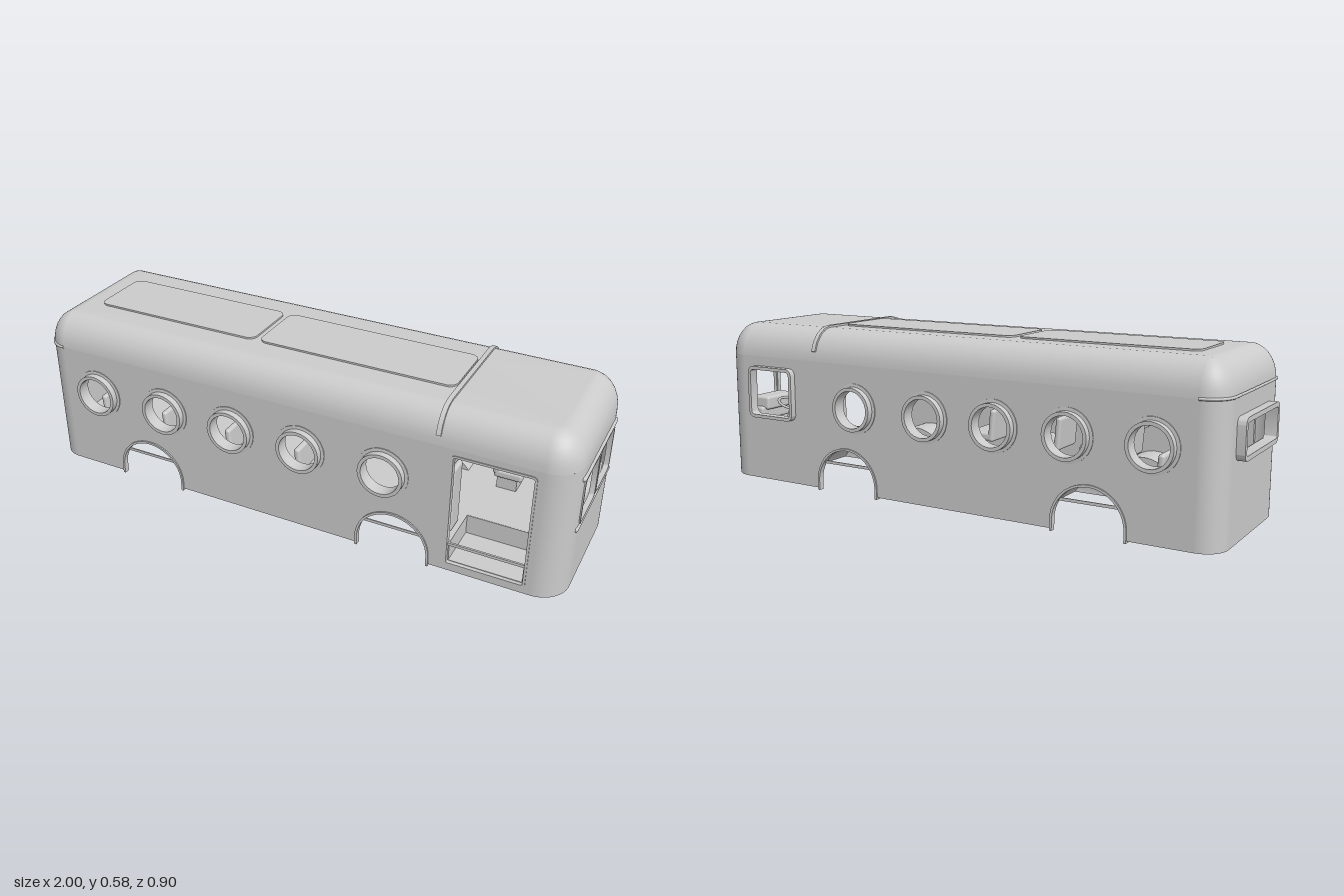
import * as THREE from 'three';
import { toCreasedNormals } from 'three/addons/utils/BufferGeometryUtils.js';
import { RoundedBoxGeometry } from 'three/addons/geometries/RoundedBoxGeometry.js';

// The bus is built along x (front at +x), then turned as a whole.
const FRONT = 0.975, REAR = -0.957, HALF = 0.275;
const RF = 0.1, RR = 0.08, BASE = 0.007, EAVE = 0.465, ROOF = 0.578, WALL = 0.014, FLOOR = 0.1;
const ARCHES = [-0.535, 0.405], ARCH_R = 0.125, ARCH_Y = 0.035;
const PORTHOLES = [-0.74, -0.46, -0.195, 0.07, 0.365], WINDOW_Y = 0.312;
const PI = Math.PI;

function roundRect(path, x0, y0, x1, y1, r) {
  path.moveTo(x0 + r, y0);
  path.lineTo(x1 - r, y0).absarc(x1 - r, y0 + r, r, -PI / 2, 0, false);
  path.lineTo(x1, y1 - r).absarc(x1 - r, y1 - r, r, 0, PI / 2, false);
  path.lineTo(x0 + r, y1).absarc(x0 + r, y1 - r, r, PI / 2, PI, false);
  path.lineTo(x0, y0 + r).absarc(x0 + r, y0 + r, r, PI, PI * 1.5, false);
  return path;
}
const rectHole = (...a) => roundRect(new THREE.Path(), ...a);
const circleHole = (x, y, r) => new THREE.Path().absarc(x, y, r, 0, PI * 2, true);

function extrude(shape, depth) {
  const g = new THREE.ExtrudeGeometry(shape, { depth, bevelEnabled: false, curveSegments: 16 });
  return toCreasedNormals(g, 0.6);
}

// Plan outline of the body, pulled in by an inset, running round from +z to +x.
function outline(inset, steps = 10) {
  const corners = [[FRONT - RF, 1, RF], [FRONT - RF, -1, RF], [REAR + RR, -1, RR], [REAR + RR, 1, RR]];
  const pts = [];
  corners.forEach(([cx, side, r], k) => {
    const cz = side * (HALF - r);
    const dir = k < 2 ? 1 : -1, rad = Math.max(r - inset, 0.003), extra = Math.max(inset - r + 0.003, 0);
    for (let i = 0; i <= steps; i++) {
      const t = (k + i / steps) * PI / 2;
      pts.push([cx - dir * extra + rad * Math.sin(t), cz - side * extra + rad * Math.cos(t)]);
    }
  });
  return pts;
}

// Domed roof: rings of the outline following a quarter curve, closed by a fan.
function roofGeometry() {
  const pos = [], idx = [], rings = 9;
  let n = 0;
  for (let i = 0; i < rings; i++) {
    const t = i / (rings - 1) * PI / 2;
    const ring = outline(0.09 * (1 - Math.cos(t)));
    n = ring.length;
    ring.forEach(([x, z]) => pos.push(x, EAVE + (ROOF - EAVE) * Math.sin(t), z));
  }
  pos.push(0, ROOF, 0);
  for (let j = 0; j < n; j++) {
    const k = (j + 1) % n;
    for (let i = 0; i < rings - 1; i++) {
      const a = i * n + j, b = i * n + k;
      idx.push(a, b, b + n, a, b + n, a + n);
    }
    idx.push(rings * n, (rings - 1) * n + j, (rings - 1) * n + k);
  }
  const g = new THREE.BufferGeometry();
  g.setAttribute('position', new THREE.Float32BufferAttribute(pos, 3));
  g.setIndex(idx);
  g.computeVertexNormals();
  return g;
}

export function createModel() {
  const model = new THREE.Group();
  const bus = new THREE.Group();
  bus.name = 'bus';
  bus.rotation.y = -0.199;
  model.add(bus);
  const mat = new THREE.MeshStandardMaterial({ color: 0xcccccc, side: THREE.DoubleSide });
  const add = (name, geo, x = 0, y = 0, z = 0, rx = 0, ry = 0, rz = 0) => {
    const m = new THREE.Mesh(geo, mat);
    m.name = name;
    m.position.set(x, y, z);
    m.rotation.set(rx, ry, rz);
    bus.add(m);
    return m;
  };
  const box = (name, w, h, d, x, y, z, rz = 0) => add(name, new THREE.BoxGeometry(w, h, d), x, y, z, 0, 0, rz);
  const soft = (name, w, h, d, x, y, z, rz = 0) =>
    add(name, new RoundedBoxGeometry(w, h, d, 3, 0.01), x, y, z, 0, 0, rz);
  const frame = (x0, y0, x1, y1, r, t, depth) => {
    const s = roundRect(new THREE.Shape(), x0, y0, x1, y1, r);
    s.holes.push(rectHole(x0 + t, y0 + t, x1 - t, y1 - t, Math.max(r - t, 0.006)));
    return extrude(s, depth);
  };

  // Side walls with wheel arches, portholes, door and driver window
  for (const side of [1, -1]) {
    const s = new THREE.Shape();
    s.moveTo(REAR + RR, BASE);
    for (const c of ARCHES) {
      s.lineTo(c - ARCH_R, BASE).lineTo(c - ARCH_R, ARCH_Y);
      s.absarc(c, ARCH_Y, ARCH_R, PI, 0, true);
      s.lineTo(c + ARCH_R, BASE);
    }
    s.lineTo(FRONT - RF, BASE).lineTo(FRONT - RF, EAVE).lineTo(REAR + RR, EAVE);
    for (const u of PORTHOLES) s.holes.push(circleHole(u, WINDOW_Y, 0.074));
    s.holes.push(side > 0 ? rectHole(0.593, 0.036, 0.853, 0.438, 0.012) : rectHole(0.645, 0.25, 0.83, 0.42, 0.02));
    add(side > 0 ? 'doorSideWall' : 'driverSideWall', extrude(s, WALL), 0, 0, side > 0 ? HALF - WALL : -HALF);
  }

  // Front and rear walls
  const endWall = (name, halfW, holes, x, ry) => {
    const s = roundRect(new THREE.Shape(), -halfW, BASE, halfW, EAVE, 0.0005);
    s.holes.push(...holes);
    add(name, extrude(s, WALL), x, 0, 0, 0, ry);
  };
  endWall('frontWall', HALF - RF,
    [rectHole(-0.174, 0.252, -0.008, 0.41, 0.02), rectHole(0.008, 0.252, 0.174, 0.41, 0.02)], FRONT - WALL, PI / 2);
  endWall('rearWall', HALF - RR, [rectHole(-0.152, 0.282, 0.152, 0.388, 0.015)], REAR + WALL, -PI / 2);

  // Rounded upright corners and roof
  [[FRONT - RF, 1, RF], [FRONT - RF, -1, RF], [REAR + RR, -1, RR], [REAR + RR, 1, RR]].forEach(([x, s, r], k) =>
    add('bodyCorner', new THREE.CylinderGeometry(r, r, EAVE - BASE, 12, 1, true, k * PI / 2, PI / 2),
      x, (EAVE + BASE) / 2, s * (HALF - r)));
  add('roof', roofGeometry());

  // Raised roof panels
  for (const [u0, u1] of [[-0.82, -0.19], [-0.17, 0.53]])
    add('roofPanel', extrude(roundRect(new THREE.Shape(), u0, -0.115, u1, 0.115, 0.03), 0.008), 0, ROOF + 0.006, 0, PI / 2);

  // Band across the roof behind the cab
  const band = new THREE.Shape();
  const arc = (grow, t, s) => [s * (HALF - 0.09 + (0.09 + grow) * Math.cos(t)), EAVE + (ROOF - EAVE + grow) * Math.sin(t)];
  const half = [0.3, 0.6, 0.9, 1.2, PI / 2];
  const rim = g => [...half.map(t => arc(g, t, 1)), ...half.slice().reverse().map(t => arc(g, t, -1))];
  band.setFromPoints([...rim(0.007), ...rim(-0.006).reverse()].map(p => new THREE.Vector2(...p)));
  add('roofBand', extrude(band, 0.016), 0.535, 0, 0, 0, PI / 2);

  // Rain gutter round the rear
  const gutter = outline(-0.001).filter(p => p[0] < -0.85).map(([x, z]) => new THREE.Vector3(x, EAVE, z));
  add('rearGutter', new THREE.TubeGeometry(new THREE.CatmullRomCurve3(gutter), 50, 0.005, 6));

  // Porthole tubes with flanges, on both sides
  const profile = [[0.066, -0.02], [0.066, 0.026], [0.078, 0.026], [0.078, 0.004], [0.089, 0.003], [0.089, -0.002], [0.078, -0.002], [0.078, -0.02], [0.066, -0.02]]
    .map(p => new THREE.Vector2(...p));
  const porthole = toCreasedNormals(new THREE.LatheGeometry(profile.reverse(), 32), 0.6);
  for (const u of PORTHOLES) for (const s of [1, -1])
    add('porthole', porthole, u, WINDOW_Y, s * HALF, s * PI / 2);

  // Window and door frames
  add('driverWindowFrame', frame(0.635, 0.24, 0.84, 0.43, 0.025, 0.012, 0.032), 0, 0, -HALF - 0.022);
  add('rearWindowFrame', frame(-0.167, 0.268, 0.167, 0.402, 0.025, 0.016, 0.038), REAR + 0.01, 0, 0, 0, -PI / 2);
  add('doorFrame', frame(0.588, 0.03, 0.858, 0.444, 0.014, 0.008, 0.02), 0, 0, HALF - 0.017);
  for (const s of [-1, 1]) {
    const c = s * 0.091;
    add('windshieldFrame', frame(c - 0.088, 0.245, c + 0.088, 0.416, 0.024, 0.008, 0.014), FRONT - 0.01, 0, 0, 0, PI / 2);
  }
  soft('windshieldVisor', 0.022, 0.02, 0.4, FRONT - 0.004, 0.424, 0);
  soft('windshieldSill', 0.022, 0.02, 0.4, FRONT - 0.006, 0.239, 0);

  // Wheel arch lips, and wells rising above the floor
  const a0 = Math.asin((FLOOR - ARCH_Y) / ARCH_R), chord = ARCH_R * Math.cos(a0);
  for (const u of ARCHES) for (const s of [1, -1]) {
    const lip = new THREE.Shape();
    lip.moveTo(0.131, 0).lineTo(0.131, ARCH_Y).absarc(0, ARCH_Y, 0.131, 0, PI, false);
    lip.lineTo(-0.131, 0).lineTo(-0.123, 0).lineTo(-0.123, ARCH_Y).absarc(0, ARCH_Y, 0.123, PI, 0, true);
    lip.lineTo(0.123, 0);
    add('archLip', extrude(lip, 0.02), u, 0, s > 0 ? HALF - 0.015 : -HALF - 0.005);
    const well = new THREE.Shape();
    well.absarc(0, ARCH_Y, ARCH_R + 0.005, a0, PI - a0, false).absarc(0, ARCH_Y, ARCH_R, PI - a0, a0, true);
    add('wheelWell', extrude(well, 0.12), u, 0, s > 0 ? HALF - 0.125 : -HALF + 0.005);
    const cap = new THREE.Shape().absarc(0, ARCH_Y, ARCH_R, a0, PI - a0, false);
    add('wheelWellCap', new THREE.ShapeGeometry(cap, 16), u, 0, s * (HALF - 0.125));
  }

  // Floor with openings for the wells and the entrance step
  const floor = new THREE.Shape(outline(0.006).reverse().map(p => new THREE.Vector2(...p)));
  for (const u of ARCHES) for (const s of [1, -1])
    floor.holes.push(rectHole(u - chord, s * 0.2075 - 0.0575, u + chord, s * 0.2075 + 0.0575, 0.001));
  floor.holes.push(rectHole(0.6, 0.1, 0.845, 0.262, 0.001));
  add('floor', extrude(floor, 0.01), 0, FLOOR + 0.01, 0, PI / 2);
  box('entranceStep', 0.257, 0.008, 0.165, 0.722, 0.036, 0.182);
  box('stepRiser', 0.257, 0.075, 0.006, 0.722, 0.072, 0.099);
  for (const u of [0.597, 0.848]) box('stepSide', 0.006, 0.075, 0.165, u, 0.072, 0.182);

  // Passenger seats
  for (const u of [-0.75, -0.49, -0.23, 0.04]) for (const s of [1, -1]) {
    soft('seatBack', 0.022, 0.12, 0.14, u, 0.22, s * 0.17, 0.08);
    soft('seatCushion', 0.1, 0.03, 0.14, u + 0.05, 0.178, s * 0.17);
  }
  // Partition behind the door, driver seat and controls
  soft('partition', 0.02, 0.24, 0.075, 0.575, 0.23, 0.18);
  soft('driverSeatBack', 0.024, 0.13, 0.11, 0.62, 0.235, -0.14, 0.12);
  soft('driverSeatCushion', 0.1, 0.03, 0.11, 0.67, 0.172, -0.14);
  box('driverSeatBase', 0.07, 0.06, 0.08, 0.665, 0.135, -0.14);
  add('steeringColumn', new THREE.CylinderGeometry(0.007, 0.007, 0.17, 10), 0.8, 0.19, -0.14, 0, 0, 0.35);
  add('steeringWheel', new THREE.TorusGeometry(0.05, 0.005, 8, 28).rotateX(PI / 2), 0.772, 0.272, -0.14, 0, 0, 0.35);
  soft('dashboard', 0.09, 0.05, 0.4, 0.91, 0.232, 0);
  soft('instrumentHood', 0.08, 0.05, 0.15, 0.89, 0.27, -0.11);
  return model;
}
